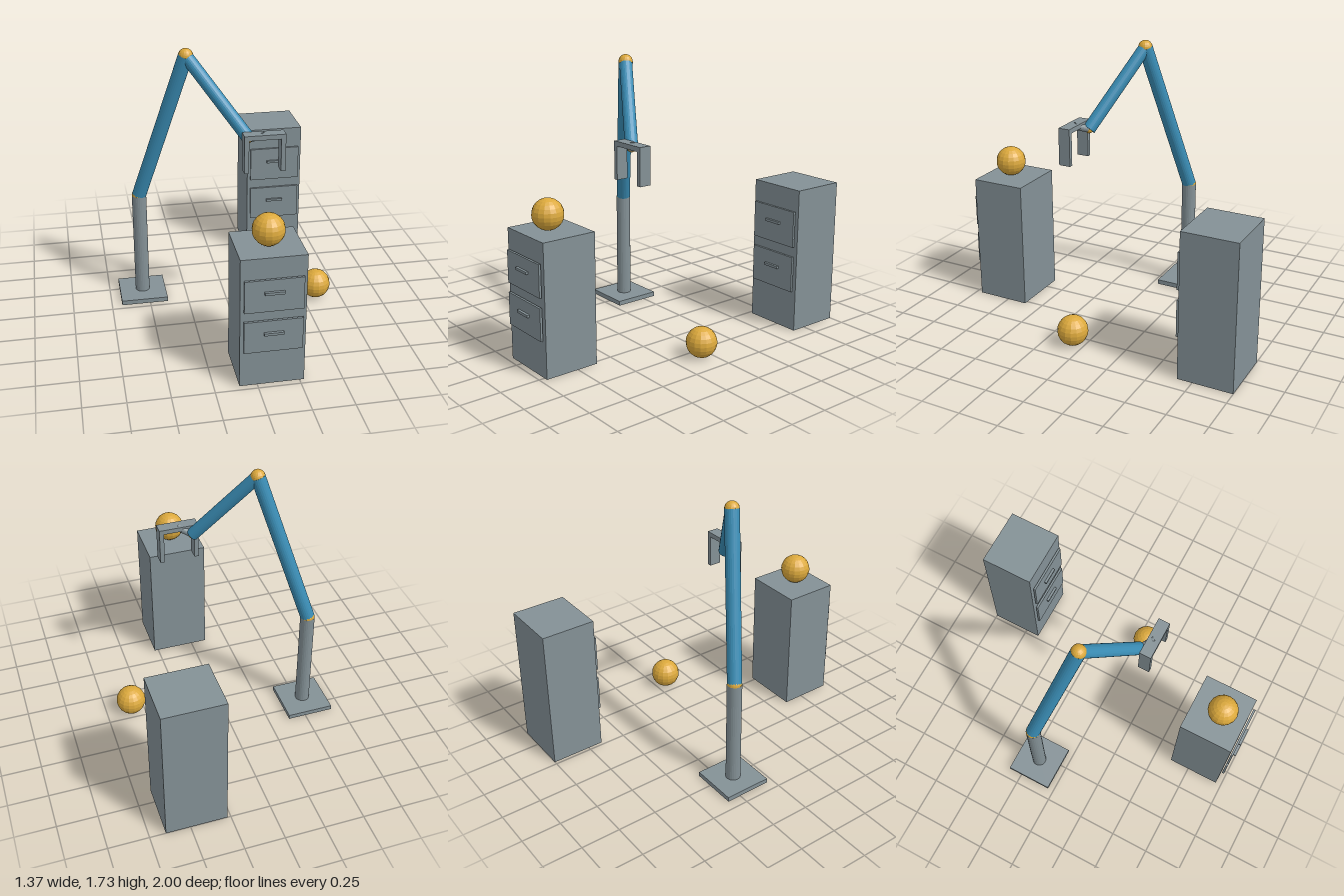
import * as THREE from 'three';

export function createModel() {
  const model = new THREE.Group();
  model.name = 'robotArmWithCabinets';

  const makeMaterial = (name, color) => {
    const m = new THREE.MeshStandardMaterial({ color, flatShading: true });
    m.name = name;
    return m;
  };
  const grey = makeMaterial('steelGrey', 0x849196);
  const blue = makeMaterial('armBlue', 0x3a8db5);
  const gold = makeMaterial('ballGold', 0xdca93c);

  const add = (parent, name, geometry, material) => {
    const mesh = new THREE.Mesh(geometry, material);
    mesh.name = name;
    parent.add(mesh);
    return mesh;
  };
  // Box given by its lower and upper corners
  const box = (parent, name, lo, hi) => {
    const size = hi.map((v, i) => v - lo[i]);
    add(parent, name, new THREE.BoxGeometry(...size), grey)
      .position.set(...hi.map((v, i) => (v + lo[i]) / 2));
  };
  // Cylinder running between two points
  const rod = (parent, name, from, to, radius, material) => {
    const dir = to.clone().sub(from);
    const mesh = add(parent, name,
      new THREE.CylinderGeometry(radius, radius, dir.length(), 24), material);
    mesh.position.copy(from).addScaledVector(dir, 0.5);
    mesh.quaternion.setFromUnitVectors(new THREE.Vector3(0, 1, 0), dir.normalize());
  };
  const ball = (parent, name, centre, radius) => {
    add(parent, name, new THREE.SphereGeometry(radius, 16, 12), gold).position.copy(centre);
  };

  // Arm: foot, column, two links and their joints
  const arm = new THREE.Group();
  arm.name = 'arm';
  model.add(arm);
  const foot = new THREE.Vector3(-0.535, 0.03, -0.19);
  const shoulder = new THREE.Vector3(-0.535, 0.715, -0.19);
  const elbow = new THREE.Vector3(-0.245, 1.68, 0);
  const wrist = new THREE.Vector3(0.095, 1.215, 0.215);
  const hand = new THREE.Vector3(0.175, 1.25, 0.272);
  box(arm, 'basePlate', [-0.685, 0, -0.34], [-0.385, 0.03, -0.04]);
  rod(arm, 'column', foot, shoulder, 0.046, grey);
  rod(arm, 'lowerArm', shoulder, elbow, 0.045, blue);
  rod(arm, 'upperArm', elbow, wrist, 0.04, blue);
  rod(arm, 'wristRod', wrist, hand, 0.022, grey);
  ball(arm, 'shoulderJoint', shoulder, 0.046);
  ball(arm, 'elbowJoint', elbow, 0.045);
  ball(arm, 'wristJoint', wrist, 0.026);

  // Gripper: crossbar and two fingers
  const gripper = new THREE.Group();
  gripper.name = 'gripper';
  arm.add(gripper);
  box(gripper, 'crossbar', [0.05, 1.235, 0.235], [0.3, 1.265, 0.31]);
  for (const x of [0.05, 0.272]) {
    box(gripper, 'finger', [x, 1.03, 0.235], [x + 0.028, 1.235, 0.31]);
  }

  // Cabinets with two drawers each, fronts floating just ahead of the body
  const cabinet = (name, x, back, front, height, drawers) => {
    const g = new THREE.Group();
    g.name = name;
    model.add(g);
    box(g, 'cabinetBody', [x - 0.19, 0, back], [x + 0.19, height, front]);
    for (const [lo, hi] of drawers) {
      const mid = (lo + hi) / 2 + 0.02;
      box(g, 'drawerFront', [x - 0.17, lo, front + 0.007], [x + 0.17, hi, front + 0.021]);
      box(g, 'drawerHandle', [x - 0.057, mid - 0.008, front + 0.021], [x + 0.057, mid + 0.008, front + 0.037]);
    }
  };
  cabinet('frontCabinet', 0.086, 0.617, 0.963, 0.815, [[0.23, 0.43], [0.49, 0.69]]);
  cabinet('rearCabinet', 0.461, -1, -0.655, 0.922, [[0.26, 0.49], [0.555, 0.785]]);

  // Loose balls
  ball(model, 'ballOnCabinet', new THREE.Vector3(0.086, 0.91, 0.808), 0.095);
  ball(model, 'ballOnFloor', new THREE.Vector3(0.585, 0.097, 0.07), 0.095);

  return model;
}
